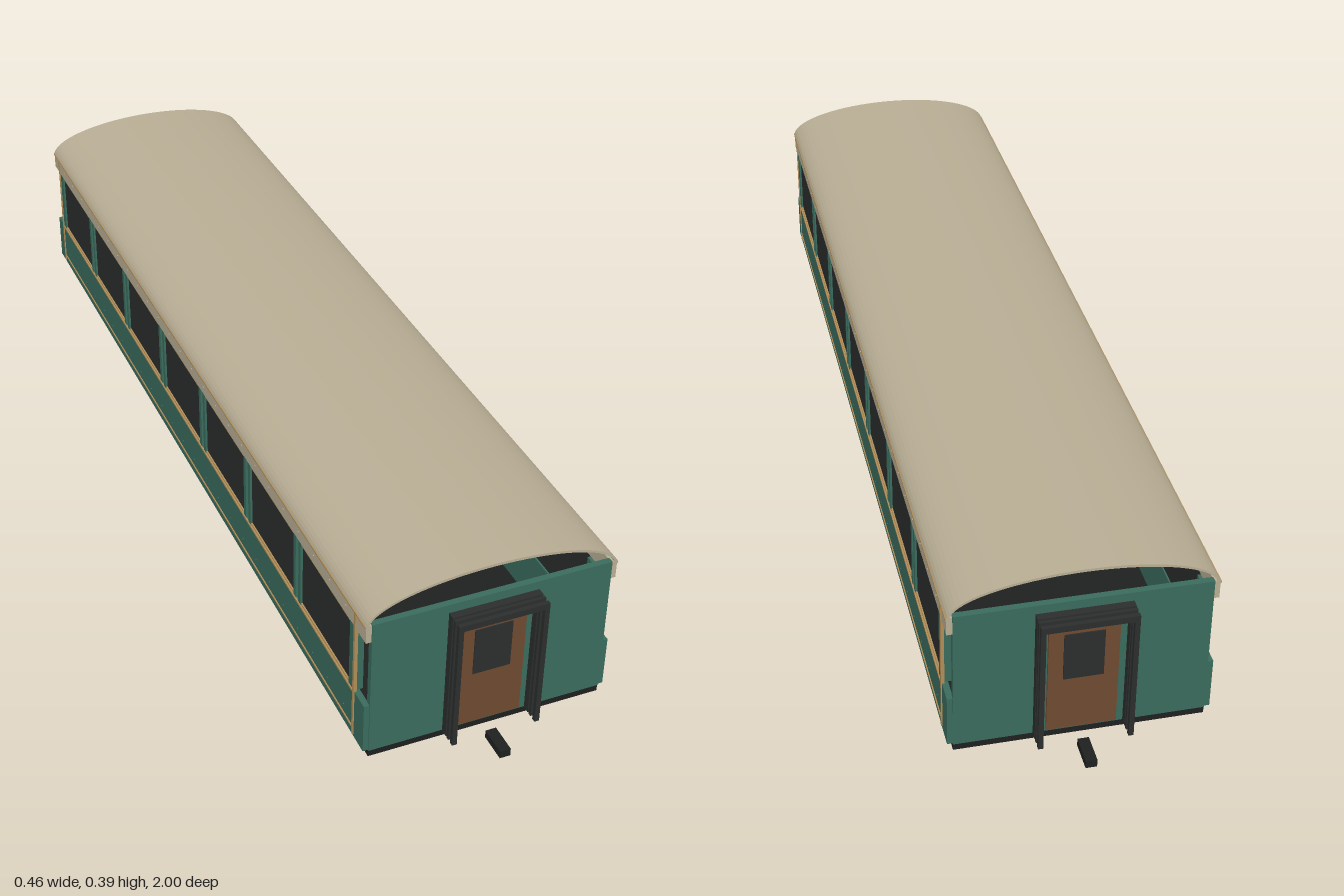
import * as THREE from 'three';

const mat = (color) => new THREE.MeshStandardMaterial({ color, side: THREE.DoubleSide });

export function createModel() {
  const model = new THREE.Group();
  model.name = 'railwayCoach';
  const teal = mat(0x3a6b5c), cream = mat(0xb8ad94), dark = mat(0x2b2e2c);
  const black = mat(0x1e201f), brown = mat(0x6e4a30), gold = mat(0xb08d57);

  const add = (parent, name, geometry, material) => {
    const mesh = new THREE.Mesh(geometry, material);
    mesh.name = name;
    parent.add(mesh);
    return mesh;
  };
  // Box given by its lower and upper limits on each axis
  const box = (parent, name, material, x0, x1, y0, y1, z0, z1) => {
    const mesh = add(parent, name, new THREE.BoxGeometry(x1 - x0, y1 - y0, z1 - z0), material);
    mesh.position.set((x0 + x1) / 2, (y0 + y1) / 2, (z0 + z1) / 2);
    return mesh;
  };
  const group = (name, parent = model) => {
    const g = new THREE.Group();
    g.name = name;
    parent.add(g);
    return g;
  };

  // Floor
  box(model, 'floor', black, -0.22, 0.22, 0.04, 0.054, -0.922, 0.922);

  // Arched thin roof, open at both ends
  const arch = new THREE.Shape();
  const steps = 40;
  for (let i = 0; i <= steps; i++) {
    const a = (i / steps) * Math.PI;
    const x = 0.231 * Math.cos(a), y = 0.322 + 0.068 * Math.sin(a);
    if (i === 0) arch.moveTo(x, y); else arch.lineTo(x, y);
  }
  for (let i = steps; i >= 0; i--) {
    const a = (i / steps) * Math.PI;
    arch.lineTo(0.226 * Math.cos(a), 0.322 + 0.063 * Math.sin(a));
  }
  const roof = new THREE.ExtrudeGeometry(arch, { depth: 1.844, bevelEnabled: false });
  roof.translate(0, 0, -0.922);
  add(model, 'roof', roof, cream);

  // Side walls: +1 is the left, -1 the right
  for (const s of [1, -1]) {
    const side = group(s > 0 ? 'leftSide' : 'rightSide');
    const slab = (name, m, xa, xb, ...rest) =>
      box(side, name, m, Math.min(s * xa, s * xb), Math.max(s * xa, s * xb), ...rest);

    slab('lowerPanel', teal, 0.219, 0.23, 0.055, 0.155, -0.922, 0.922);
    slab('upperBoard', cream, 0.219, 0.23, 0.293, 0.328, -0.922, 0.922);
    slab('waistTrim', gold, 0.229, 0.232, 0.152, 0.156, -0.88, 0.88);
    slab('lowerTrim', gold, 0.229, 0.232, 0.072, 0.075, -0.88, 0.88);
    slab('eavesTrim', gold, 0.229, 0.232, 0.324, 0.327, -0.922, 0.922);

    // Seven windows, with split pillars between them
    for (let i = -3; i <= 3; i++) {
      const z = i * 0.25;
      slab('windowPane', dark, 0.221, 0.226, 0.157, 0.291, z - 0.111, z + 0.111);
      slab('windowSill', gold, 0.226, 0.229, 0.156, 0.159, z - 0.111, z + 0.111);
      slab('windowHead', gold, 0.226, 0.229, 0.289, 0.293, z - 0.111, z + 0.111);
      for (const e of [-1, 1]) {
        const c = z + e * 0.1135;
        slab('pillar', teal, 0.213, 0.23, 0.155, 0.293, c - 0.0055, c + 0.0055);
      }
    }
    for (const e of [1, -1]) {
      slab('endPillar', teal, 0.213, 0.23, 0.155, 0.293, e * 0.871 - 0.008, e * 0.871 + 0.008);
      slab('endPost', gold, 0.226, 0.232, 0.06, 0.327, e * 0.88 - 0.003, e * 0.88 + 0.003);
    }

    // Rivets along the lower panel and the eaves
    const rivet = new THREE.SphereGeometry(0.0018, 6, 4);
    for (let i = -12; i <= 12; i++) {
      for (const [y, m] of [[0.092, teal], [0.31, cream]]) {
        add(side, 'rivet', rivet, m).position.set(s * 0.23, y, i * 0.07);
      }
    }
  }

  // Ends: wall, door, gangway frames and coupler
  for (const e of [1, -1]) {
    const end = group(e > 0 ? 'frontEnd' : 'backEnd');
    const part = (name, m, x0, x1, y0, y1, za, zb) =>
      box(end, name, m, x0, x1, y0, y1, Math.min(e * za, e * zb), Math.max(e * za, e * zb));

    part('endWall', teal, -0.22, 0.22, 0.054, 0.33, 0.912, 0.924);
    part('door', brown, -0.061, 0.061, 0.06, 0.3, 0.922, 0.929);
    part('doorWindow', dark, -0.035, 0.035, 0.17, 0.265, 0.927, 0.931);
    for (const [z0, z1] of [[0.924, 0.938], [0.942, 0.948], [0.955, 0.963]]) {
      part('gangwayPost', dark, -0.083, -0.074, 0.052, 0.313, z0, z1);
      part('gangwayPost', dark, 0.074, 0.083, 0.052, 0.313, z0, z1);
      part('gangwayHeader', dark, -0.083, 0.083, 0.301, 0.313, z0, z1);
    }
    part('coupler', black, -0.01, 0.01, 0.03, 0.045, 0.945, 1.0);
  }

  // Bogies with two axles each
  for (const zc of [0.553, -0.553]) {
    const bogie = group(zc > 0 ? 'frontBogie' : 'backBogie');
    bogie.position.z = zc;
    box(bogie, 'bogieFrame', black, -0.131, 0.131, 0.022, 0.04, -0.125, 0.125);
    for (const s of [1, -1]) {
      box(bogie, 'sideBeam', black, s * 0.137 - 0.006, s * 0.137 + 0.006, 0.027, 0.04, -0.134, 0.134);
    }
    for (const z of [0.078, -0.078]) {
      const axle = add(bogie, 'axle', new THREE.CylinderGeometry(0.006, 0.006, 0.26, 12), dark);
      axle.rotation.z = Math.PI / 2;
      axle.position.set(0, 0.026, z);
      for (const s of [1, -1]) {
        const wheel = add(bogie, 'wheel', new THREE.CylinderGeometry(0.026, 0.026, 0.014, 24), black);
        wheel.rotation.z = Math.PI / 2;
        wheel.position.set(s * 0.124, 0.026, z);
        const cap = add(bogie, 'axleBox', new THREE.CylinderGeometry(0.008, 0.008, 0.012, 12), gold);
        cap.rotation.z = Math.PI / 2;
        cap.position.set(s * 0.138, 0.029, z);
      }
    }
  }

  // Equipment boxes under the floor
  for (const z of [0.2, -0.13]) {
    box(model, 'equipmentBox', black, -0.11, 0.11, 0.004, 0.041, z - 0.07, z + 0.07);
  }
  return model;
}
